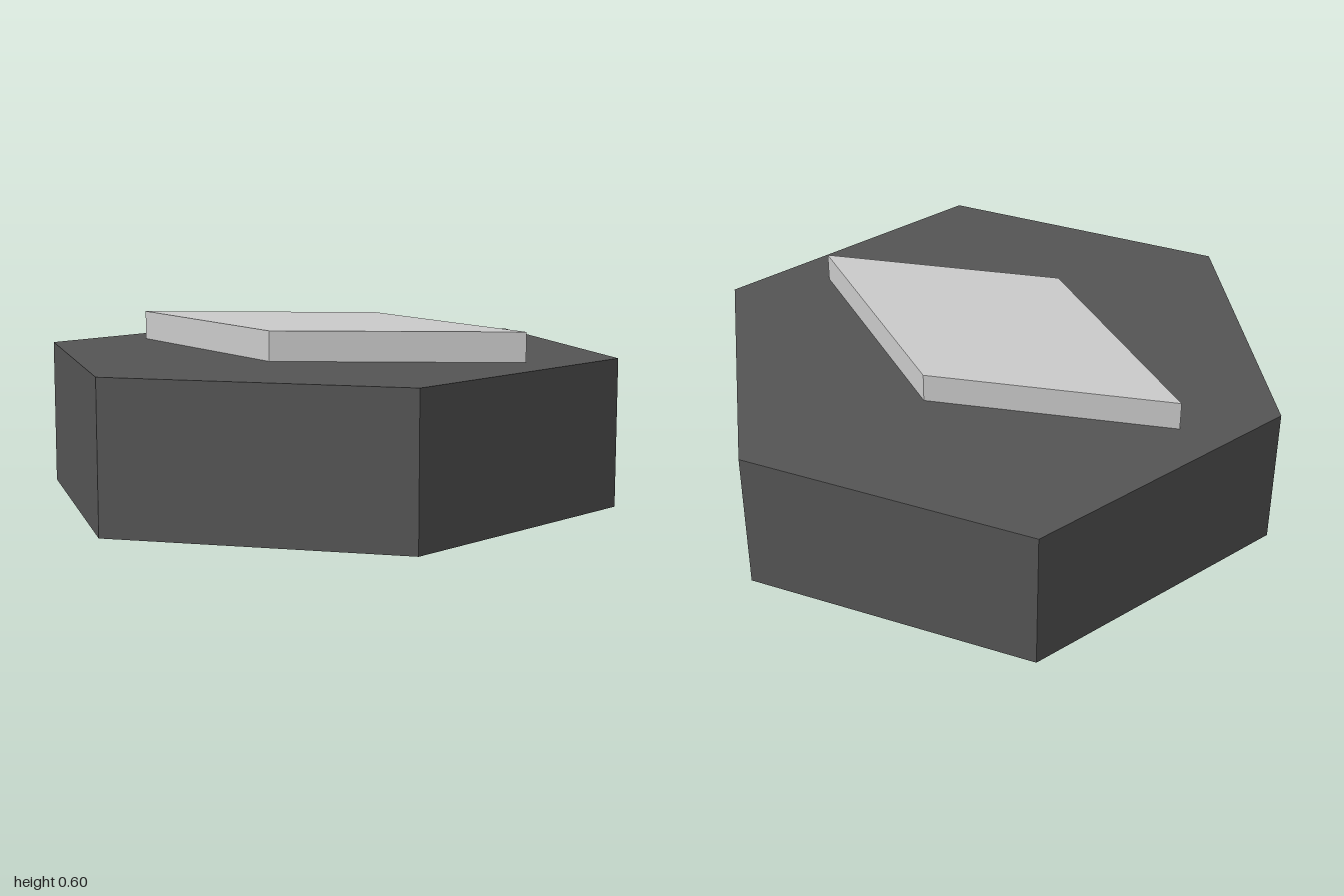
import * as THREE from 'three';

export function createModel() {
  const group = new THREE.Group();

  // Dark hexagonal base with a corner facing front and back
  const base = new THREE.Mesh(
    new THREE.CylinderGeometry(1, 1, 0.5, 6),
    new THREE.MeshStandardMaterial({ color: 0x555555, flatShading: true })
  );
  base.name = 'hexagonBase';
  base.position.y = 0.25;
  group.add(base);

  // Raised rhombus plate, long diagonal from back right to front left
  const long = 0.527, short = 0.264;
  const rhombus = new THREE.Shape([
    new THREE.Vector2(-long, long),
    new THREE.Vector2(-short, -short),
    new THREE.Vector2(long, -long),
    new THREE.Vector2(short, short),
  ]);
  const plate = new THREE.Mesh(
    new THREE.ExtrudeGeometry(rhombus, { depth: 0.1, bevelEnabled: false }),
    new THREE.MeshStandardMaterial({ color: 0xcccccc, flatShading: true })
  );
  plate.name = 'rhombusPlate';
  plate.rotation.x = -Math.PI / 2;
  plate.position.y = 0.5;
  group.add(plate);

  return group;
}
